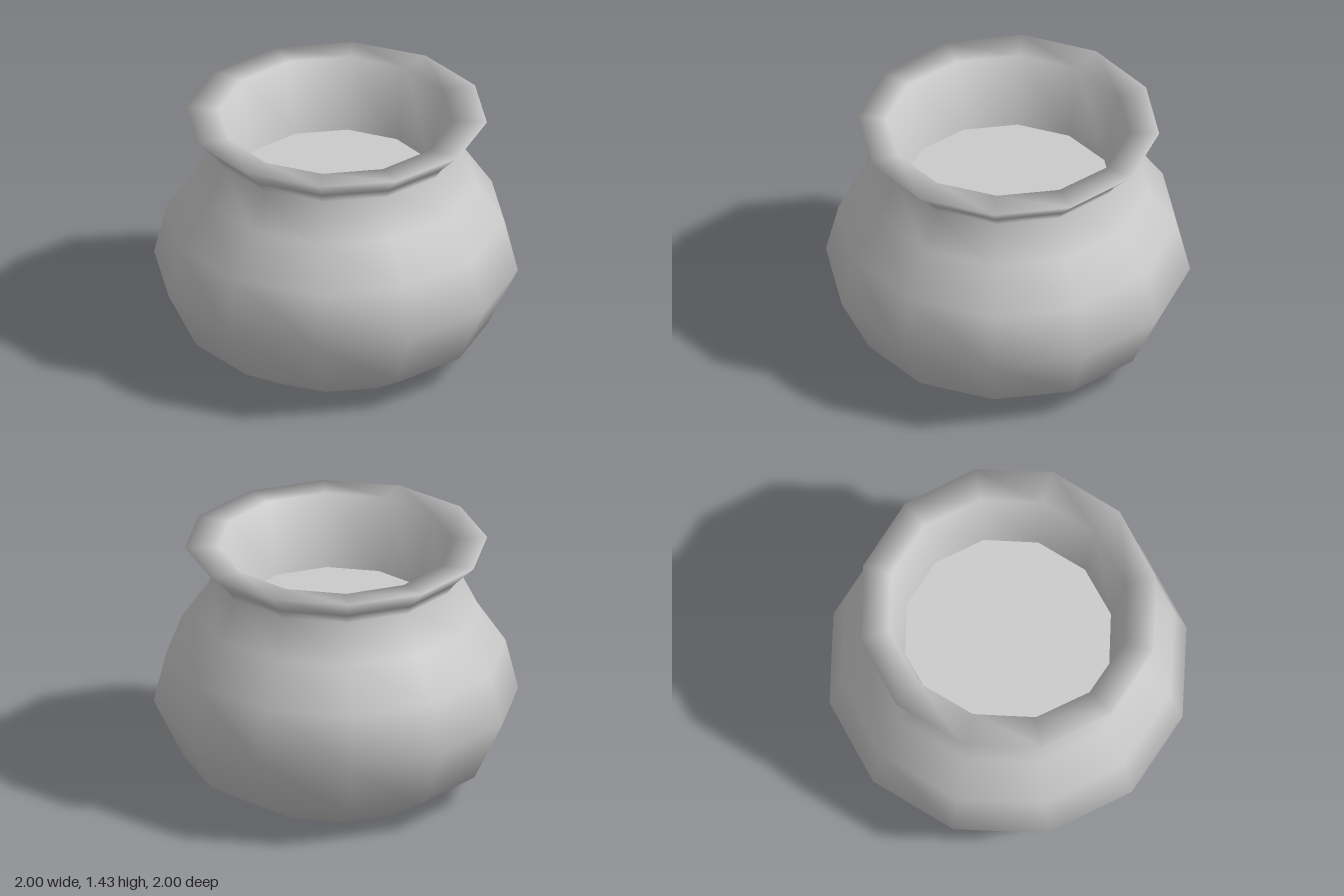
import * as THREE from 'three';

const SIDES = 12;
const INNER_SQUEEZE = 0.96; // the mouth is slightly narrower across x

export function createModel() {
  const group = new THREE.Group();
  group.name = 'pot';
  const material = new THREE.MeshStandardMaterial({ color: 0xcccccc });

  const add = (name, geometry) => {
    const mesh = new THREE.Mesh(geometry, material);
    mesh.name = name;
    group.add(mesh);
    return mesh;
  };

  // Wall: foot, belly, neck, flared rim, then down the inside
  const profile = [
    [0.55, 0], [0.835, 0.18], [1, 0.52], [0.93, 0.81], [0.775, 1.04],
    [0.67, 1.25], [0.71, 1.31], [0.83, 1.43], [0.67, 1.425], [0.58, 1.02],
  ].map(([r, y]) => new THREE.Vector2(r, y));
  const wall = new THREE.LatheGeometry(profile, SIDES);

  // Narrow the two inner rings
  const pos = wall.attributes.position;
  for (let i = 0; i < pos.count; i++) {
    if (i % profile.length >= profile.length - 2) pos.setX(i, pos.getX(i) * INNER_SQUEEZE);
  }
  add('wall', wall);

  // Flat surface inside the mouth
  const contents = add('contents', new THREE.CircleGeometry(0.58, SIDES).rotateX(-Math.PI / 2));
  contents.position.y = 1.02;
  contents.scale.x = INNER_SQUEEZE;

  // Flat underside
  add('base', new THREE.CircleGeometry(0.55, SIDES).rotateX(Math.PI / 2));

  return group;
}
